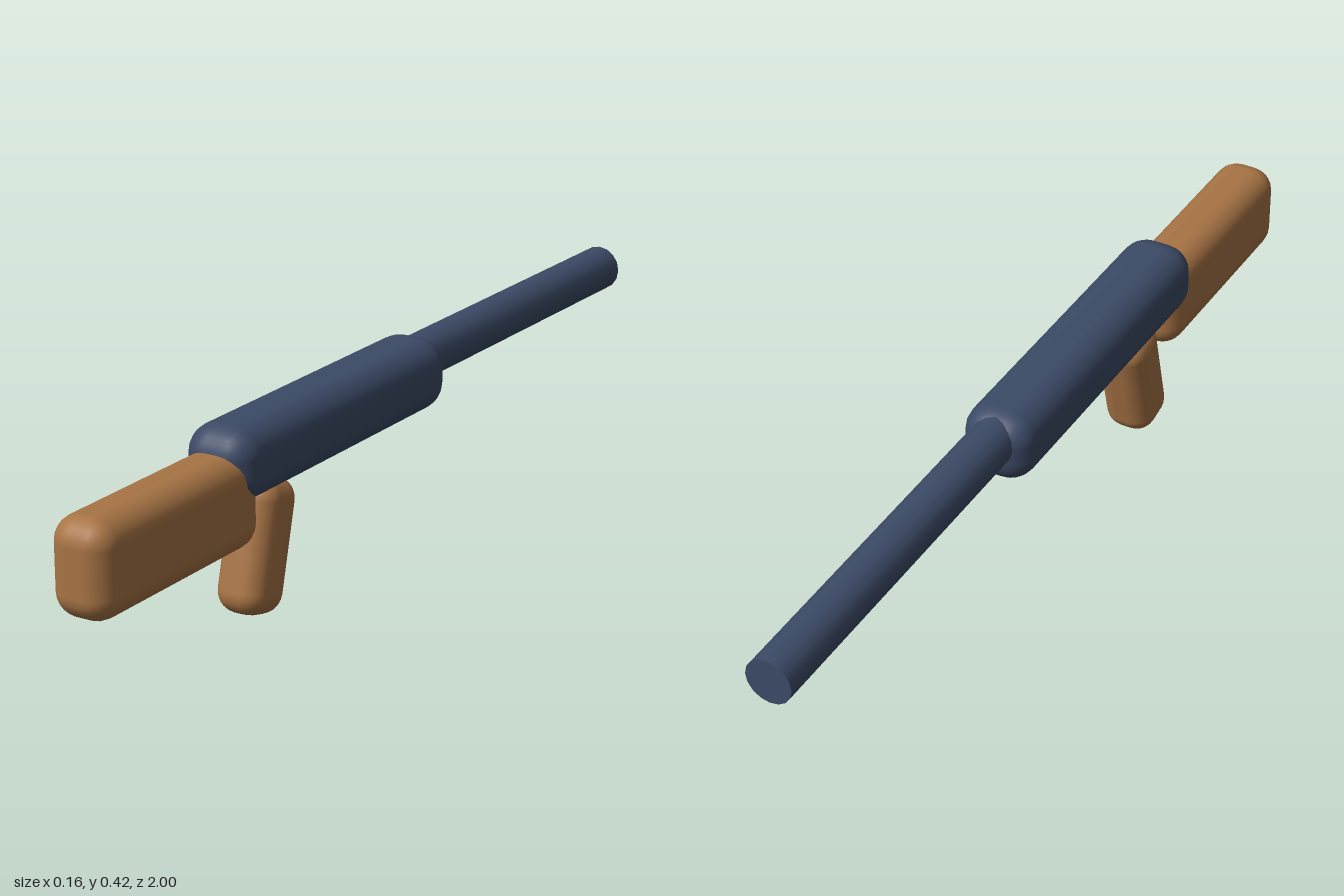
import * as THREE from 'three';
import { RoundedBoxGeometry } from 'three/addons/geometries/RoundedBoxGeometry.js';

export function createModel() {
  const model = new THREE.Group();
  const metal = new THREE.MeshStandardMaterial({ color: 0x3c4a66 });
  const wood = new THREE.MeshStandardMaterial({ color: 0xa87445 });

  const add = (name, geometry, material, y, z, tilt = 0) => {
    const mesh = new THREE.Mesh(geometry, material);
    mesh.name = name;
    mesh.position.set(0, y, z);
    mesh.rotation.x = tilt;
    model.add(mesh);
  };

  // Softly rounded main body
  add('receiver', new RoundedBoxGeometry(0.156, 0.155, 0.775, 3, 0.06), metal, 0.34, 0.183);

  // Round barrel, running a little way into the body
  add('barrel', new THREE.CylinderGeometry(0.05, 0.05, 0.84, 16), metal, 0.361, -0.58, Math.PI / 2);

  // Shoulder stock
  add('stock', new RoundedBoxGeometry(0.134, 0.2, 0.52, 3, 0.052), wood, 0.271, 0.74);

  // Hand grip, leaning back towards the stock at its foot
  add('grip', new RoundedBoxGeometry(0.112, 0.277, 0.125, 3, 0.045), wood, 0.14, 0.418, -0.25);

  return model;
}
